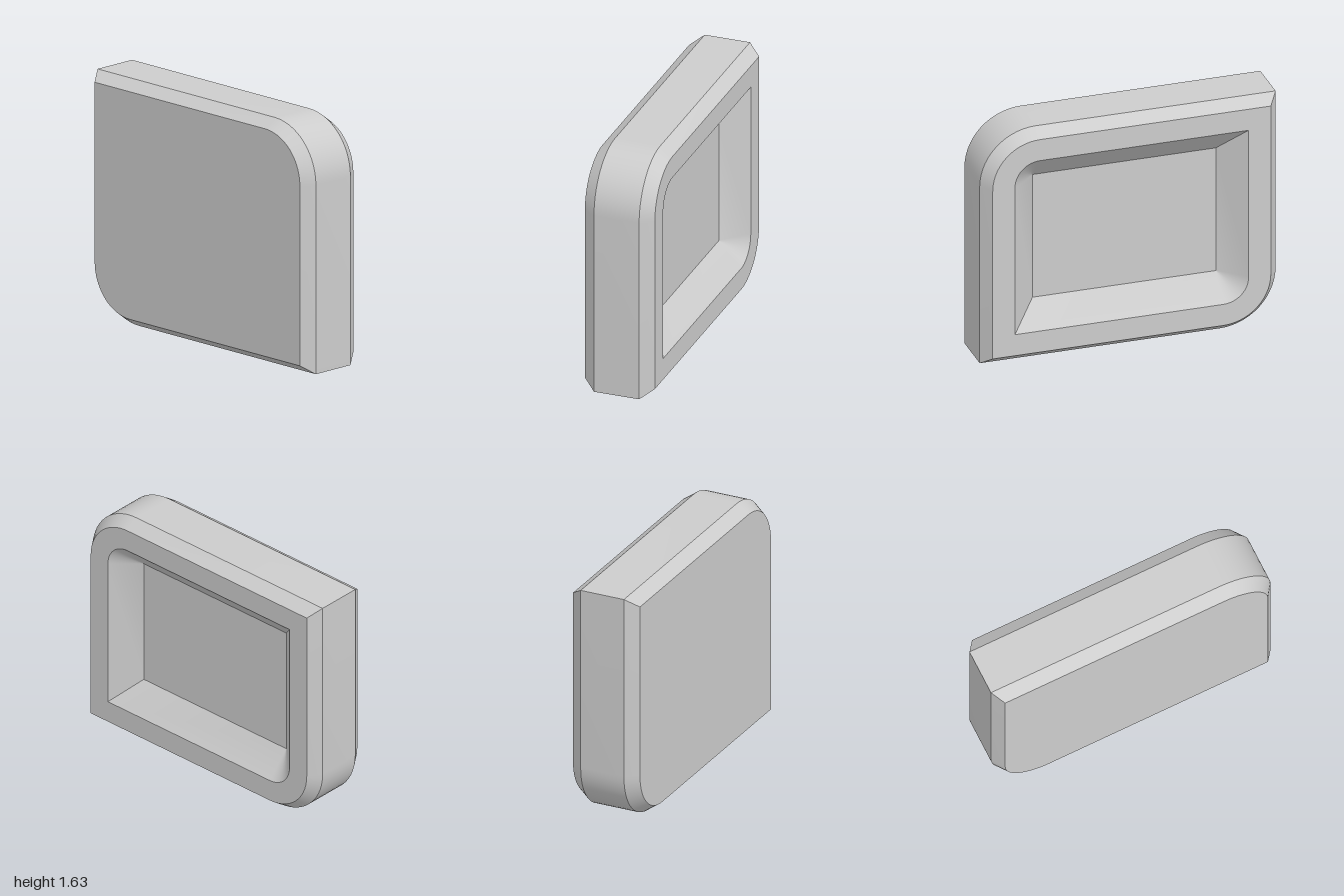
import * as THREE from 'three';
import { toCreasedNormals } from 'three/addons/utils/BufferGeometryUtils.js';

const H = 1.635, R = 0.38, ARC = 14;

// Plate outline, counter-clockwise: two opposite corners sharp, two rounded
function outline(inset, z) {
  const pts = [];
  const r = R - inset;
  const arc = (cx, cy, start) => {
    for (let i = 0; i <= ARC; i++) {
      const a = start + (i / ARC) * Math.PI / 2;
      pts.push(new THREE.Vector3(cx + r * Math.cos(a), cy + r * Math.sin(a), z));
    }
  };
  pts.push(new THREE.Vector3(1 - inset, inset, z));
  arc(1 - R, H - R, 0);
  pts.push(new THREE.Vector3(-1 + inset, H - inset, z));
  arc(-1 + R, R, Math.PI);
  return pts;
}

// Joins successive outlines; capFirst faces +z, capLast faces -z
function loft(sections, capFirst, capLast) {
  const rings = sections.map(([inset, z]) => outline(inset, z));
  const pos = [];
  const tri = (a, b, c) => {
    const area = b.clone().sub(a).cross(c.clone().sub(a)).length();
    if (area > 1e-9) for (const p of [a, b, c]) pos.push(p.x, p.y, p.z);
  };
  const n = rings[0].length;
  for (let k = 0; k + 1 < rings.length; k++) {
    const a = rings[k], b = rings[k + 1];
    for (let j = 0; j < n; j++) {
      const m = (j + 1) % n;
      tri(b[j], b[m], a[m]);
      tri(b[j], a[m], a[j]);
    }
  }
  const cap = (ring, flip) => {
    const c = new THREE.Vector3(0, H / 2, ring[0].z);
    ring.forEach((p, j) => {
      const q = ring[(j + 1) % n];
      if (flip) tri(c, q, p); else tri(c, p, q);
    });
  };
  if (capFirst) cap(rings[0], false);
  if (capLast) cap(rings[rings.length - 1], true);
  const geo = new THREE.BufferGeometry();
  geo.setAttribute('position', new THREE.Float32BufferAttribute(pos, 3));
  return toCreasedNormals(geo, 0.4);
}

export function createModel() {
  const group = new THREE.Group();
  const grey = new THREE.MeshStandardMaterial({ color: 0xcccccc });
  grey.name = 'light grey';
  const add = (name, geo) => {
    const mesh = new THREE.Mesh(geo, grey);
    mesh.name = name;
    group.add(mesh);
  };

  // Bevelled plate with flat front and a rim around the back opening
  add('plate', loft([[0.06, 0.24], [0, 0.155], [0, -0.155], [0.06, -0.24], [0.21, -0.24]], true, false));
  // Sloped walls and floor of the back recess
  add('recess', loft([[0.21, -0.24], [R, -0.085]], false, true));
  return group;
}
